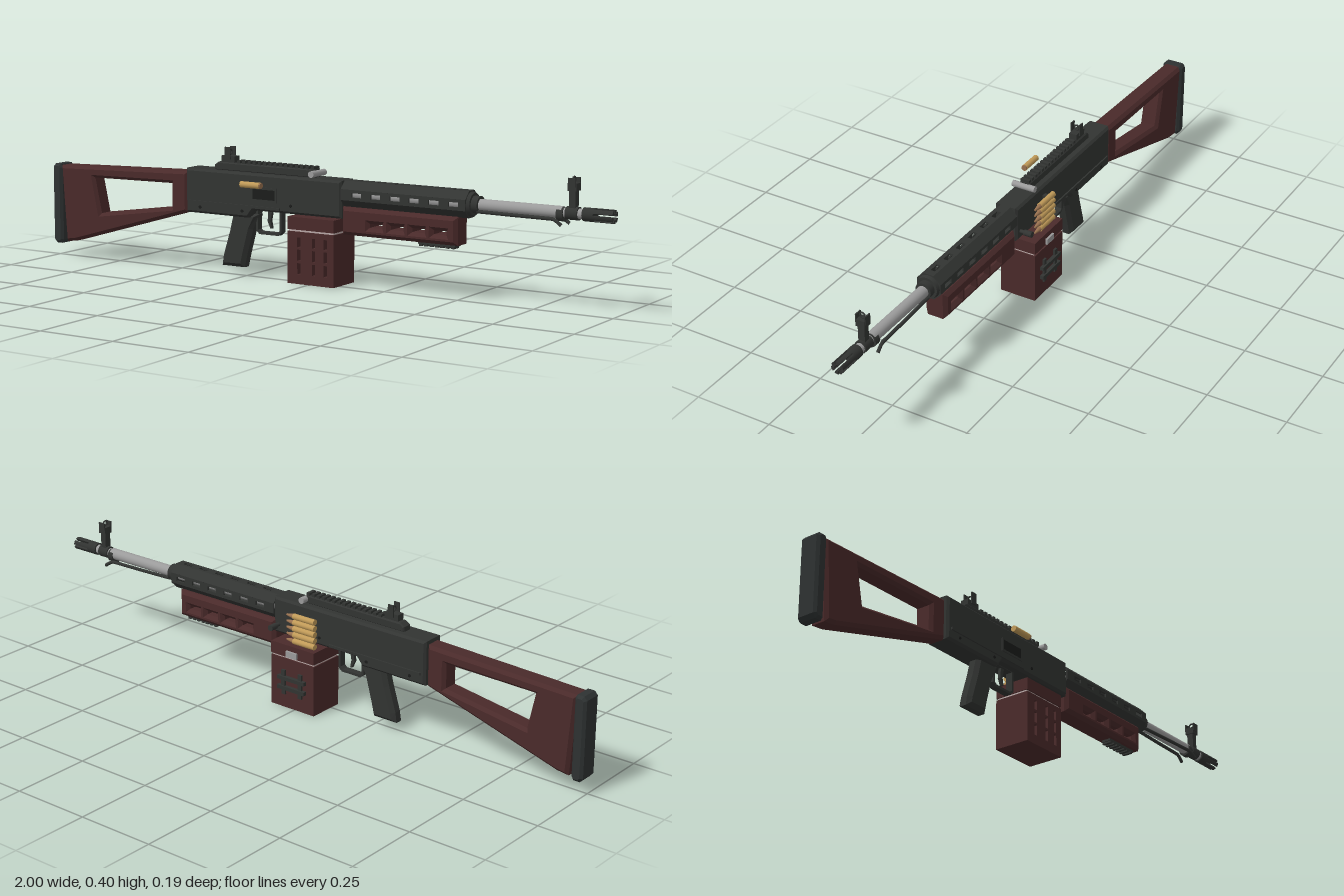
import * as THREE from 'three';

const mat = (name, color, side = THREE.FrontSide) => {
  const m = new THREE.MeshStandardMaterial({ color, side });
  m.name = name;
  return m;
};

export function createModel() {
  const root = new THREE.Group();
  root.name = 'propGun';
  const metal = mat('dark metal', 0x323432);
  const wood = mat('red brown', 0x4a2a2a);
  const steel = mat('steel', 0x9b9b9b);
  const rubber = mat('rubber', 0x2e3232);
  const brass = mat('brass', 0xc09a58);
  const copper = mat('copper', 0x98714f);
  const pale = mat('pale groove', 0xb8a8a6);
  const black = mat('black recess', 0x1b1c1b);

  const add = (name, geo, material, x = 0, y = 0, z = 0, parent = root) => {
    const m = new THREE.Mesh(geo, material);
    m.name = name;
    m.position.set(x, y, z);
    parent.add(m);
    return m;
  };
  // Box given by its limits
  const box = (name, material, x0, x1, y0, y1, z0, z1) =>
    add(name, new THREE.BoxGeometry(x1 - x0, y1 - y0, z1 - z0), material,
      (x0 + x1) / 2, (y0 + y1) / 2, (z0 + z1) / 2);
  // Cylinder along x
  const rod = (name, material, x0, x1, y, z, r0, r1 = r0, sides = 20) => {
    const g = new THREE.CylinderGeometry(r1, r0, x1 - x0, sides);
    g.rotateZ(-Math.PI / 2);
    return add(name, g, material, (x0 + x1) / 2, y, z);
  };
  const rect = (x0, x1, y0, y1) => [[x0, y0], [x1, y0], [x1, y1], [x0, y1]];
  // Side profile extruded symmetrically about z = 0
  const slab = (points, width, bevel = 0, holes = []) => {
    const v = (p) => p.map(([x, y]) => new THREE.Vector2(x, y));
    const shape = new THREE.Shape(v(points));
    holes.forEach((h) => shape.holes.push(new THREE.Path(v(h))));
    const g = new THREE.ExtrudeGeometry(shape, {
      depth: width - 2 * bevel, bevelEnabled: bevel > 0, bevelSize: bevel,
      bevelThickness: bevel, bevelOffset: -bevel, bevelSegments: 1,
    });
    g.translate(0, 0, bevel - width / 2);
    return g;
  };
  const tube = (name, material, pts, r) => {
    const curve = new THREE.CatmullRomCurve3(pts.map((p) => new THREE.Vector3(...p)), false, 'catmullrom', 0.1);
    return add(name, new THREE.TubeGeometry(curve, 24, r, 8), material);
  };

  // Skeleton stock and butt pad
  add('stock', slab(
    [[-0.968, 0.302], [-0.95, 0.05], [-0.91, 0.055], [-0.455, 0.188], [-0.455, 0.318]], 0.064, 0.01,
    [[[-0.83, 0.27], [-0.52, 0.275], [-0.52, 0.197], [-0.805, 0.155]]]), wood);
  add('buttPad', slab(
    [[-1, 0.055], [-0.99, 0.043], [-0.968, 0.043], [-0.962, 0.055], [-0.962, 0.295], [-0.968, 0.306], [-0.99, 0.306], [-1, 0.295]],
    0.07, 0.008), rubber);

  // Receiver with ejection port
  add('receiver', slab(
    [[-0.455, 0.19], [-0.22, 0.19], [-0.2, 0.215], [0.12, 0.215], [0.12, 0.33], [-0.455, 0.33]], 0.078, 0.007), metal);
  for (const s of [1, -1]) {
    box('sideRib', metal, -0.44, -0.1, 0.222, 0.23, s * 0.0405 - 0.003, s * 0.0405 + 0.003);
    for (const x of [-0.4, -0.24, -0.06]) {
      const pin = add('pin', new THREE.CylinderGeometry(0.005, 0.005, 0.004, 10), black, x, 0.21 + (x > -0.2 ? 0.03 : 0), s * 0.039);
      pin.rotation.x = Math.PI / 2;
    }
  }
  box('ejectionPortFrame', metal, -0.205, -0.11, 0.245, 0.29, 0.036, 0.042);
  box('ejectionPort', black, -0.198, -0.117, 0.252, 0.283, 0.04, 0.0425);

  // Top cover, toothed rail and hinge pin
  add('topCover', slab([[-0.36, 0.328], [0.012, 0.328], [0.012, 0.355], [-0.345, 0.355], [-0.36, 0.345]], 0.034, 0.004), metal);
  for (let i = 0; i < 15; i++) {
    const x = -0.275 + i * 0.0195;
    box('railTooth', metal, x, x + 0.011, 0.354, 0.363, -0.015, 0.015);
  }
  const hinge = add('hingePin', new THREE.CylinderGeometry(0.01, 0.01, 0.077, 16), steel, 0.012, 0.342, 0);
  hinge.rotation.x = Math.PI / 2;

  // Rear sight
  box('rearSightBase', metal, -0.335, -0.285, 0.354, 0.375, -0.013, 0.013);
  const ring = (x) => {
    const r = add('sightRing', new THREE.TorusGeometry(0.008, 0.0025, 8, 18), metal, x, 0.387, 0);
    r.rotation.y = Math.PI / 2;
  };
  ring(-0.31);
  for (const s of [1, -1]) box('rearSightEar', metal, -0.32, -0.3, 0.365, 0.403, s * 0.015 - 0.002, s * 0.015 + 0.002);

  // Octagonal barrel shroud made from slotted panels
  const slots = [];
  for (let i = 0; i < 6; i++) slots.push(rect(0.158 + i * 0.066, 0.192 + i * 0.066, -0.007, 0.007));
  for (let i = 0; i < 8; i++) {
    const g = slab(rect(0.12, 0.545, -0.0166, 0.0166), 0.006, 0, i % 2 ? [] : slots);
    g.translate(0, 0, 0.037);
    g.rotateX(i * Math.PI / 4);
    add('shroudPanel', g, metal, 0, 0.29, 0);
  }
  rod('shroudCap', metal, 0.54, 0.555, 0.29, 0, 0.039, 0.034);
  rod('shroudCollar', metal, 0.555, 0.575, 0.29, 0, 0.026);

  // Barrel and slotted flash hider
  rod('barrel', steel, 0.12, 0.84, 0.29, 0, 0.018);
  rod('barrelTip', steel, 0.84, 0.93, 0.29, 0, 0.015);
  rod('flashHiderBase', metal, 0.905, 0.94, 0.29, 0, 0.02);
  for (let i = 0; i < 6; i++) {
    const s = new THREE.Shape();
    s.absarc(0, 0, 0.02, 0, 0.72, false);
    s.absarc(0, 0, 0.011, 0.72, 0, true);
    const g = new THREE.ExtrudeGeometry(s, { depth: 0.06, bevelEnabled: false, curveSegments: 4 });
    g.rotateZ(i * Math.PI / 3);
    g.rotateY(Math.PI / 2);
    add('flashHiderProng', g, metal, 0.94, 0.29, 0);
  }

  // Front sight
  rod('frontSightBand', metal, 0.852, 0.89, 0.29, 0, 0.0195);
  box('frontSightPost', metal, 0.862, 0.882, 0.3, 0.372, -0.011, 0.011);
  box('frontSightBlock', metal, 0.858, 0.886, 0.355, 0.377, -0.015, 0.015);
  ring(0.872);
  for (const s of [1, -1]) box('frontSightEar', metal, 0.86, 0.884, 0.365, 0.392, s * 0.015 - 0.002, s * 0.015 + 0.002);

  // Folded bipod legs
  for (const s of [1, -1]) {
    tube('bipodLeg', metal, [[0.57, 0.272, s * 0.014], [0.7, 0.272, s * 0.02], [0.82, 0.272, s * 0.024], [0.848, 0.255, s * 0.027]], 0.0055);
  }
  rod('bipodBand', metal, 0.825, 0.845, 0.285, 0, 0.021);

  // Slotted fore grip with lower rail
  const gripSlots = [];
  for (let i = 0; i < 5; i++) gripSlots.push(rect(0.142 + i * 0.073, 0.185 + i * 0.073, 0.195, 0.207));
  add('foreGrip', slab(rect(0.12, 0.515, 0.167, 0.252), 0.074, 0.011, gripSlots), wood);
  box('lowerRail', metal, 0.375, 0.5, 0.16, 0.17, -0.016, 0.016);
  for (let i = 0; i < 7; i++) box('lowerRailTooth', metal, 0.378 + i * 0.018, 0.388 + i * 0.018, 0.154, 0.161, -0.016, 0.016);

  // Pistol grip, trigger and guard
  add('pistolGrip', slab(
    [[-0.335, 0.028], [-0.25, 0.028], [-0.24, 0.07], [-0.218, 0.15], [-0.195, 0.2], [-0.29, 0.2], [-0.305, 0.14], [-0.33, 0.06]],
    0.046, 0.012), metal);
  add('triggerGuard', slab(
    [[-0.208, 0.15], [-0.195, 0.138], [-0.125, 0.138], [-0.112, 0.15], [-0.112, 0.22], [-0.208, 0.22]], 0.022, 0,
    [[[-0.2, 0.152], [-0.193, 0.146], [-0.128, 0.146], [-0.12, 0.153], [-0.12, 0.213], [-0.2, 0.213]]]), metal);
  add('trigger', slab([[-0.165, 0.217], [-0.168, 0.18], [-0.158, 0.158], [-0.152, 0.158], [-0.157, 0.182], [-0.15, 0.217]], 0.01), metal);

  // Box magazine: rear body, grooved front wall and lid
  box('magazineBody', wood, -0.075, 0.092, 0, 0.162, -0.085, 0.005);
  const grooves = [];
  for (const x of [-0.033, 0.02, 0.062]) {
    grooves.push(rect(x - 0.006, x + 0.006, 0.03, 0.065), rect(x - 0.006, x + 0.006, 0.072, 0.107), rect(x - 0.006, x + 0.006, 0.114, 0.145));
  }
  add('magazineFront', slab(rect(-0.075, 0.092, 0, 0.162), 0.03, 0, grooves), wood, 0, 0, 0.02);
  box('grooveBacking', pale, -0.05, 0.08, 0.02, 0.152, 0.004, 0.007);
  box('lidSeam', pale, -0.072, 0.089, 0.16, 0.17, -0.08, 0.03);
  box('magazineLid', wood, -0.075, 0.092, 0.168, 0.207, -0.085, 0.035);

  // Magazine latches on the rear face
  box('lidLatch', steel, -0.012, 0.03, 0.171, 0.19, -0.092, -0.084);
  for (const y of [0.068, 0.1]) box('latchBar', metal, -0.045, 0.06, y - 0.006, y + 0.006, -0.097, -0.084);
  for (const x of [-0.025, 0.04]) box('latchStrap', metal, x - 0.007, x + 0.007, 0.045, 0.125, -0.092, -0.084);

  // Belt of rounds, loose round and charging handle
  const round = (x, y, z) => {
    rod('roundCase', brass, x, x + 0.082, y, z, 0.0095, 0.0095, 14);
    rod('roundTip', copper, x + 0.082, x + 0.11, y, z, 0.008, 0.003, 14);
  };
  for (let i = 0; i < 5; i++) round(-0.06, 0.215 + i * 0.0202, -0.06);
  box('beltLinks', metal, -0.045, -0.03, 0.207, 0.3, -0.052, -0.04);
  rod('spentCase', brass, -0.21, -0.14, 0.302, 0.088, 0.0098, 0.0098, 14);
  rod('spentCaseMouth', copper, -0.14, -0.135, 0.302, 0.088, 0.009, 0.009, 14);
  const handle = add('chargingHandle', new THREE.CylinderGeometry(0.006, 0.006, 0.03, 12), metal, 0.1, 0.243, -0.05);
  handle.rotation.x = Math.PI / 2;
  const knob = add('chargingKnob', new THREE.CylinderGeometry(0.0095, 0.0095, 0.026, 14), metal, 0.1, 0.243, -0.067);
  knob.rotation.x = Math.PI / 2;

  return root;
}
